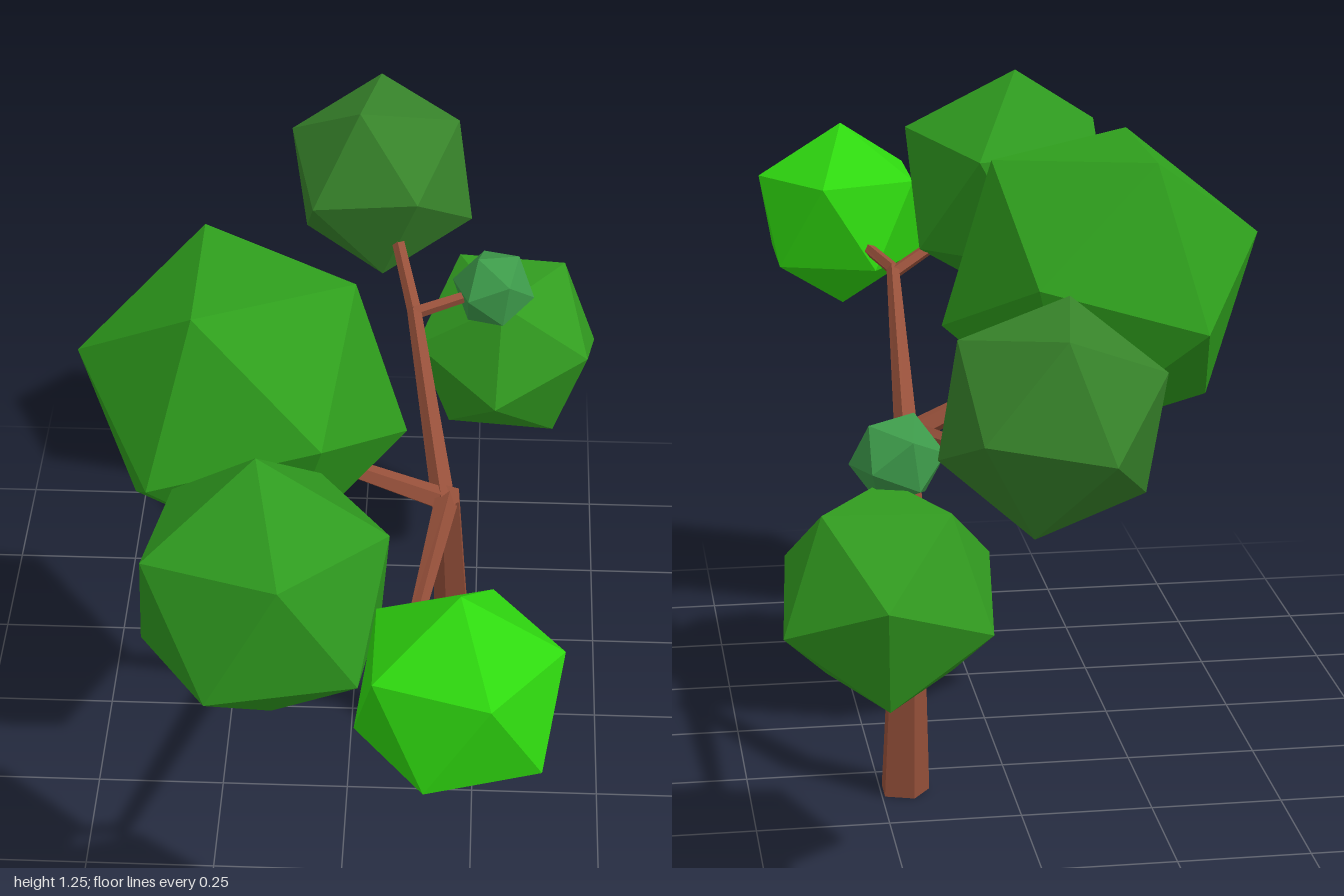
import * as THREE from 'three';

const V = (p) => new THREE.Vector3(...p);
const material = (color) => new THREE.MeshStandardMaterial({ color, flatShading: true });

// Tapered, mitred limb through a few points; each point is [x, y, z, radius]
function limb(points, sides) {
  const centres = points.map(([x, y, z]) => new THREE.Vector3(x, y, z));
  const positions = [], index = [];
  const last = points.length - 1;
  centres.forEach((c, i) => {
    const dir = new THREE.Vector3();
    if (i > 0) dir.add(c.clone().sub(centres[i - 1]).normalize());
    if (i < last) dir.add(centres[i + 1].clone().sub(c).normalize());
    dir.normalize();
    const ref = Math.abs(dir.z) > 0.8 ? V([0, 1, 0]) : V([0, 0, 1]);
    const u = ref.cross(dir).normalize();
    const v = dir.clone().cross(u);
    for (let k = 0; k < sides; k++) {
      const a = (k / sides) * Math.PI * 2;
      const p = c.clone()
        .addScaledVector(u, Math.cos(a) * points[i][3])
        .addScaledVector(v, Math.sin(a) * points[i][3]);
      if (i === 0 && c.y === 0) p.y = 0;
      positions.push(p.x, p.y, p.z);
    }
  });
  for (let i = 0; i < last; i++) {
    for (let k = 0; k < sides; k++) {
      const a = i * sides + k, b = i * sides + ((k + 1) % sides);
      index.push(a, b, b + sides, a, b + sides, a + sides);
    }
  }
  // End caps
  for (let k = 1; k < sides - 1; k++) {
    index.push(0, k + 1, k);
    index.push(last * sides, last * sides + k, last * sides + k + 1);
  }
  const geometry = new THREE.BufferGeometry();
  geometry.setAttribute('position', new THREE.Float32BufferAttribute(positions, 3));
  geometry.setIndex(index);
  const flat = geometry.toNonIndexed();
  flat.computeVertexNormals();
  return flat;
}

// Icosahedron turned so that two neighbouring corners point along a and b
function foliageBall(centre, radius, a, b) {
  const na = V(a).normalize(), nb = V(b).normalize();
  const x = nb.clone().sub(na).normalize();
  const y = nb.clone().add(na).normalize();
  const z = x.clone().cross(y);
  const geometry = new THREE.IcosahedronGeometry(radius, 0);
  geometry.applyMatrix4(new THREE.Matrix4().makeBasis(x, y, z));
  geometry.translate(...centre);
  return geometry;
}

export function createModel() {
  const tree = new THREE.Group();
  tree.name = 'tree';
  const bark = material(0x96503a);
  const add = (name, geometry, mat) => {
    const mesh = new THREE.Mesh(geometry, mat);
    mesh.name = name;
    tree.add(mesh);
  };

  // Bent trunk and the branches spreading from its top
  const limbs = {
    trunk: [[0.205, 0, -0.095, 0.049], [0.203, 0.335, -0.137, 0.036], [0.187, 0.71, -0.02, 0.028]],
    frontBranch: [[0.185, 0.69, -0.03, 0.024], [0.14, 0.86, 0.58, 0.014], [0.22, 0.9, 0.78, 0.012]],
    frontTwig: [[0.14, 0.855, 0.57, 0.014], [-0.05, 0.95, 0.67, 0.012]],
    backBranch: [[0.185, 0.69, 0, 0.024], [0.11, 0.8, -0.53, 0.015], [0.05, 0.92, -0.75, 0.012]],
    backTwig: [[0.11, 0.8, -0.52, 0.014], [0.25, 0.82, -0.58, 0.011]],
    sideBranch: [[0.2, 0.685, -0.03, 0.024], [-0.12, 0.83, 0.0, 0.014]],
  };
  for (const [name, points] of Object.entries(limbs)) add(name, limb(points, 5), bark);

  // Foliage: name, colour, centre, radius, two corner directions
  const foliage = [
    ['sideFoliage', 0x2f9f1d, [-0.19, 0.967, 0.025], 0.312, [-0.08, 0.265, 0.17], [-0.08, 0.265, -0.17]],
    ['frontFoliage', 0x2f9a1f, [-0.11, 1.01, 0.68], 0.243, [-0.015, 0.235, -0.02], [0.1, 0.09, -0.24]],
    ['brightFoliage', 0x2fd90f, [0.22, 0.922, 0.83], 0.193, [0, 1, 0], [0.894, 0.447, 0]],
    ['backFoliage', 0x37832a, [0.035, 0.95, -0.81], 0.205, [-0.08, -0.035, -0.19], [0.15, 0, -0.17]],
    ['lowFoliage', 0x329c20, [0.298, 0.617, -0.705], 0.206, [0.19, -0.045, -0.085], [0.11, 0.16, -0.05]],
    ['smallFoliage', 0x3d9a4a, [0.267, 0.82, -0.587], 0.084, [-0.4, 0.9, 0.2], [0.6, 0.75, -0.2]],
  ];
  for (const [name, color, centre, radius, a, b] of foliage) {
    add(name, foliageBall(centre, radius, a, b), material(color));
  }
  return tree;
}
